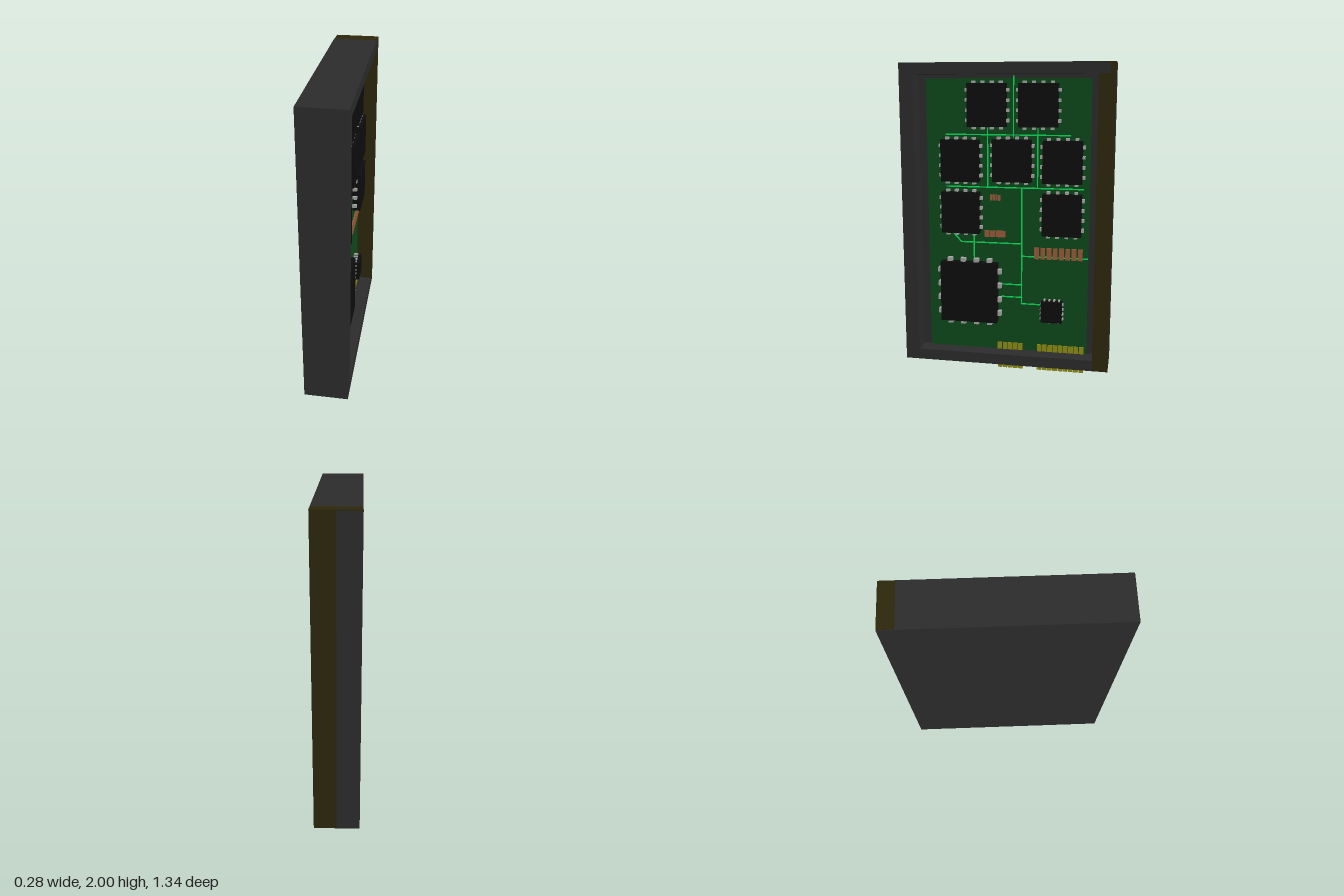
import * as THREE from 'three';

export function createModel() {
  const model = new THREE.Group();
  const mat = (color) => new THREE.MeshStandardMaterial({ color, flatShading: true });
  const dark = mat(0x2c2c2c), olive = mat(0x2d270c), green = mat(0x0f4a1b), black = mat(0x0d0d0d);
  const silver = mat(0xa5a5a5), copper = mat(0x9a5a38), gold = mat(0x908d12), glow = mat(0x0be05a);

  // Box given by its limits on each axis
  function block(parent, name, material, [x0, x1], [y0, y1], [z0, z1]) {
    const mesh = new THREE.Mesh(new THREE.BoxGeometry(x1 - x0, y1 - y0, z1 - z0), material);
    mesh.position.set((x0 + x1) / 2, (y0 + y1) / 2, (z0 + z1) / 2);
    mesh.name = name;
    parent.add(mesh);
    return mesh;
  }
  function group(name) {
    const g = new THREE.Group();
    g.name = name;
    model.add(g);
    return g;
  }

  // Casing: solid back half and a raised rim around the open side
  const casing = group('casing');
  block(casing, 'backShell', dark, [-0.14, 0.0], [0.06, 1.995], [-0.67, 0.67]);
  block(casing, 'innerFloor', dark, [0.0, 0.02], [0.06, 1.995], [-0.57, 0.67]);
  block(casing, 'frontRim', dark, [0.0, 0.14], [0.06, 2], [0.58, 0.67]);
  block(casing, 'topRim', dark, [0.0, 0.14], [1.93, 1.995], [-0.64, 0.58]);
  block(casing, 'bottomRim', dark, [0.0, 0.14], [0.06, 0.13], [-0.57, 0.58]);
  block(casing, 'topPlate', dark, [-0.14, 0.14], [1.995, 2], [-0.575, 0.67]);
  block(casing, 'spine', olive, [0.0, 0.14], [0.06, 1.93], [-0.67, -0.57]);
  block(casing, 'spineCorner', olive, [0.0, 0.14], [1.93, 1.995], [-0.67, -0.64]);
  block(casing, 'spineCap', olive, [-0.135, 0.14], [1.995, 2], [-0.67, -0.575]);

  // Circuit board
  const TOP = 0.037;
  block(model, 'circuitBoard', green, [0.02, TOP], [0.13, 1.905], [-0.525, 0.525]);

  // Gold edge contacts that pass through the bottom rim
  const contacts = group('edgeContacts');
  for (const [start, count] of [[0.065, 5], [-0.2, 9]]) {
    for (let i = 0; i < count; i++) {
      const z = start - i * 0.0347;
      block(contacts, 'contact', gold, [0.018, 0.042], [0, 0.178], [z - 0.03, z]);
    }
  }

  // Chip with four legs on each side
  function chip(name, z, y, w, h, top) {
    const g = group(name);
    block(g, 'chipBody', black, [TOP, top], [y - h / 2, y + h / 2], [z - w / 2, z + w / 2]);
    const out = w * 0.065, half = w * 0.042, legTop = TOP + (top - TOP) * 0.6;
    for (let i = 0; i < 4; i++) {
      const t = (i - 1.5) * 0.235;
      for (const s of [-1, 1]) {
        const zc = z + t * w, yc = y + t * h;
        const ze = z + s * (w + out) / 2, ye = y + s * (h + out) / 2;
        block(g, 'leg', silver, [TOP, legTop], [ye - out / 2, ye + out / 2], [zc - half, zc + half]);
        block(g, 'leg', silver, [TOP, legTop], [yc - half, yc + half], [ze - out / 2, ze + out / 2]);
      }
    }
  }
  const memory = [[0.125, 1.74], [-0.2, 1.74], [0.3, 1.39], [-0.035, 1.395],
    [-0.355, 1.39], [0.3, 1.055], [-0.355, 1.055]];
  for (const [z, y] of memory) chip('memoryChip', z, y, 0.248, 0.268, 0.09);
  chip('processor', 0.247, 0.527, 0.375, 0.4, 0.1);
  chip('controllerChip', -0.297, 0.417, 0.135, 0.138, 0.09);

  // Copper pads: start z, count, pitch, pad width, y range
  const pads = group('copperPads');
  const rows = [[-0.178, 8, 0.0402, 0.03, 0.76, 0.835], [0.11, 4, 0.017, 0.013, 1.135, 1.172],
    [0.15, 4, 0.0185, 0.014, 0.895, 0.937], [0.076, 4, 0.0165, 0.013, 0.895, 0.937]];
  for (const [start, count, pitch, w, y0, y1] of rows) {
    for (let i = 0; i < count; i++) {
      const z = start - i * pitch;
      block(pads, 'pad', copper, [TOP, 0.048], [y0, y1], [z - w, z]);
    }
  }

  // Conductor traces: z, y to z, y
  const traces = group('traces');
  const lines = [[-0.04, 1.92, -0.04, 1.54], [0.4, 1.555, -0.4, 1.555], [0.127, 1.6, 0.127, 1.22],
    [-0.195, 1.6, -0.195, 1.22], [0.4, 1.22, -0.49, 1.22], [-0.095, 1.22, -0.095, 0.45],
    [-0.095, 0.452, -0.23, 0.452], [-0.095, 0.773, -0.525, 0.773], [0.305, 0.855, -0.1, 0.855],
    [0.37, 0.925, 0.305, 0.855], [0.22, 0.92, 0.22, 0.73], [0.04, 0.58, -0.1, 0.58], [0.04, 0.495, -0.1, 0.495]];
  for (const [z0, y0, z1, y1] of lines) {
    const length = Math.hypot(z1 - z0, y1 - y0);
    const trace = new THREE.Mesh(new THREE.BoxGeometry(0.006, 0.008, length), glow);
    trace.position.set(TOP + 0.001, (y0 + y1) / 2, (z0 + z1) / 2);
    trace.rotation.x = -Math.atan2(y1 - y0, z1 - z0);
    trace.name = 'trace';
    traces.add(trace);
  }
  return model;
}
